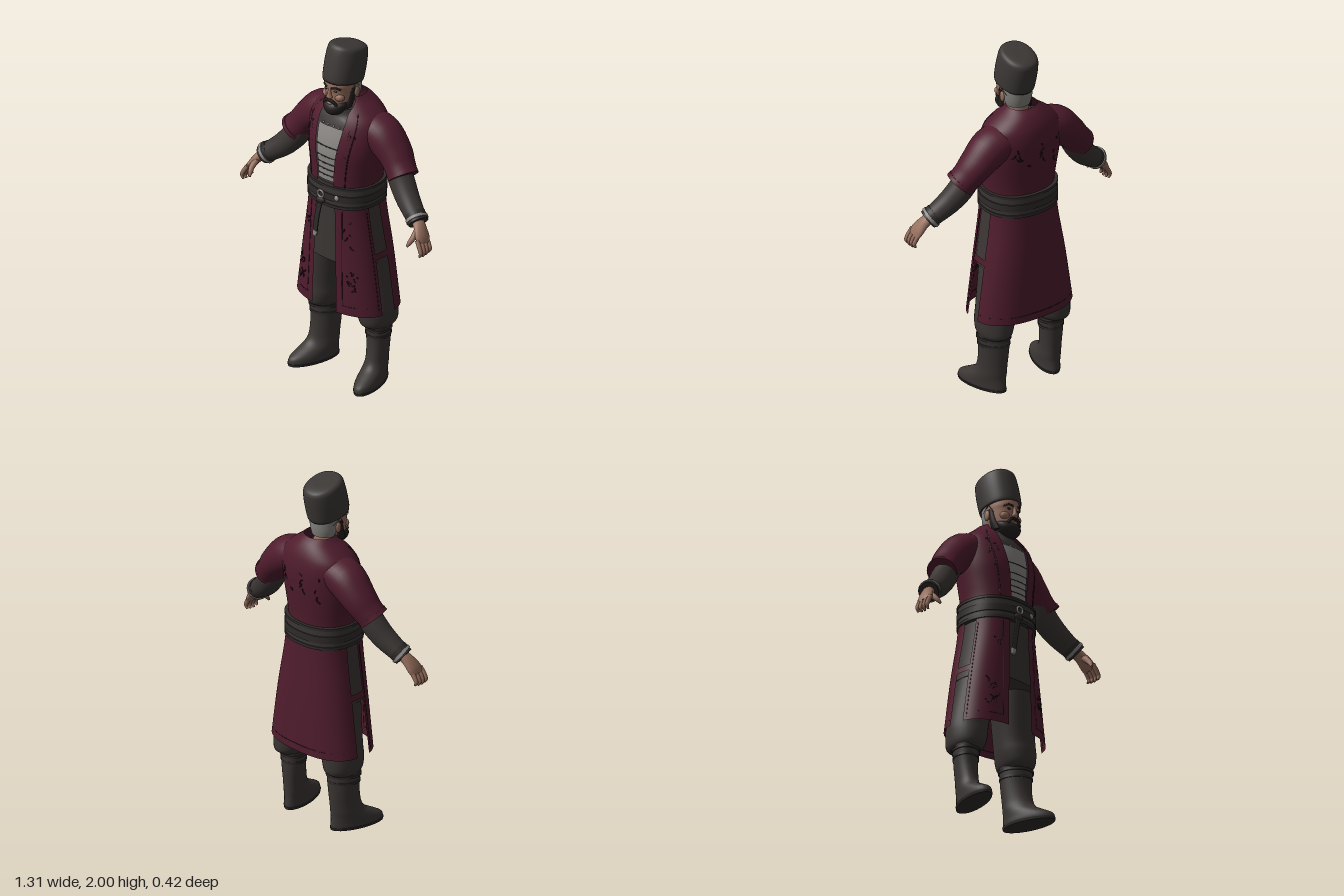
import * as THREE from 'three';
import { mergeGeometries } from 'three/addons/utils/BufferGeometryUtils.js';

const mat = (name, color, double) => {
  const m = new THREE.MeshStandardMaterial({ color });
  m.name = name;
  if (double) m.side = THREE.DoubleSide;
  return m;
};
const D = Math.PI / 180;
const pw = (v, e) => Math.sign(v) * Math.abs(v) ** e;
const ring = (a, b, deg, p) => [a * pw(Math.cos(deg * D), 2 / p), b * pw(Math.sin(deg * D), 2 / p)];
const V = (x, y, z) => new THREE.Vector3(x, y, z);

// Rows are [x, y, z, halfWidth, halfDepth, startAngle, endAngle]; 90 degrees is the front.
function smooth(rows, k = 4) {
  const r = rows.map((q) => (q.length < 7 ? [...q, 0, 360] : q)), out = [];
  for (let i = 0; i < r.length - 1; i++) {
    const p0 = r[Math.max(i - 1, 0)], p1 = r[i], p2 = r[i + 1], p3 = r[Math.min(i + 2, r.length - 1)];
    for (let s = 0; s < k; s++) {
      const t = s / k;
      out.push(p1.map((v, c) => {
        const m1 = (p2[c] - p0[c]) / 2, m2 = (p3[c] - v) / 2, d = p2[c] - v;
        return v + m1 * t + (3 * d - 2 * m1 - m2) * t * t + (m1 + m2 - 2 * d) * t * t * t;
      }));
    }
  }
  out.push(r[r.length - 1]);
  return out;
}

// Skin a surface over elliptical cross-sections (flat rows run from bottom to top).
function loft(rows, { n = 32, p = 2, flat = false, k = 4 } = {}) {
  const R = smooth(rows, k), closed = R[0][6] - R[0][5] >= 359.9;
  const cols = closed ? n : n + 1, pos = [], idx = [];
  const c = R.map((r) => V(r[0], r[1], r[2]));
  R.forEach((r, i) => {
    const t = flat ? V(0, 1, 0) : c[Math.min(i + 1, R.length - 1)].clone().sub(c[Math.max(i - 1, 0)]).normalize();
    const v = V(0, 0, 1).addScaledVector(t, -t.z).normalize(), u = t.clone().cross(v);
    for (let j = 0; j < cols; j++) {
      const [x, z] = ring(r[3], r[4], r[5] + (r[6] - r[5]) * j / n, p);
      const q = c[i].clone().addScaledVector(u, x).addScaledVector(v, z);
      pos.push(q.x, q.y, q.z);
    }
  });
  for (let i = 0; i < R.length - 1; i++) for (let j = 0; j < n; j++) {
    const a = i * cols + j, b = i * cols + (j + 1) % cols;
    idx.push(a, a + cols, b, b, a + cols, b + cols);
  }
  if (closed) for (const e of [0, R.length - 1]) {
    const base = pos.length / 3;
    pos.push(...pos.slice(e * cols * 3, (e + 1) * cols * 3), c[e].x, c[e].y, c[e].z);
    for (let j = 0; j < n; j++) {
      const a = base + j, b = base + (j + 1) % n;
      idx.push(...(e ? [b, a, base + n] : [a, b, base + n]));
    }
  }
  const g = new THREE.BufferGeometry();
  g.setAttribute('position', new THREE.Float32BufferAttribute(pos, 3));
  g.setIndex(idx);
  g.computeVertexNormals();
  return g;
}

function rowAt(R, y) {
  const i = Math.max(0, Math.min(R.length - 2, R.findIndex((r) => r[1] > y) - 1));
  const t = (y - R[i][1]) / (R[i + 1][1] - R[i][1]);
  return R[i].map((v, c) => v + (R[i + 1][c] - v) * t);
}
const grow = (r, s, t0 = r[5], t1 = r[6]) => [r[0], r[1], r[2], r[3] * s, r[4] * s, t0, t1];
const tube = (pts, r, n = 12) => new THREE.TubeGeometry(new THREE.CatmullRomCurve3(pts), n, r, 5);
// Thin line lying on a garment; points are [y, angle].
const stitch = (R, p, pts, r = 0.003) => tube(pts.map(([y, a]) => {
  const q = rowAt(R, y), [x, z] = ring(q[3], q[4], a, p);
  return V(q[0] + x, y, q[2] + z);
}), r);

export function createModel() {
  const model = new THREE.Group();
  const robe = mat('burgundy cloth', 0x4f1c2d, true), thread = mat('dark thread', 0x26101a);
  const dark = mat('dark cloth', 0x3b3634), leather = mat('black leather', 0x2f2b2a);
  const hatM = mat('hat felt', 0x3c3836), skin = mat('skin', 0x98705e);
  const beardM = mat('beard black', 0x231f1e), greyHair = mat('grey hair', 0x85847f, true);
  const silver = mat('silver', 0x8c8986), shirtGrey = mat('grey cloth', 0x8a8784, true);
  const add = (name, geo, m) => {
    const o = new THREE.Mesh(geo, m);
    o.name = name;
    model.add(o);
    return o;
  };
  const ball = (name, m, x, y, z, a, b, c) => {
    const o = add(name, new THREE.SphereGeometry(1, 16, 12), m);
    o.position.set(x, y, z);
    o.scale.set(a, b, c);
    return o;
  };

  // Robe body, open in a V at the front
  const open = (x, y, z, a, b, g) => [x, y, z, a, b, 90 + g, 450 - g];
  const body = [
    open(0, 1.08, 0.01, 0.2, 0.175, 17), open(0, 1.2, 0.012, 0.2, 0.174, 15), open(0, 1.3, 0.008, 0.213, 0.178, 15),
    open(0, 1.4, 0.003, 0.228, 0.183, 17), open(0, 1.5, -0.01, 0.232, 0.174, 20), open(0, 1.57, -0.02, 0.215, 0.155, 23),
    open(0, 1.62, -0.027, 0.165, 0.13, 29), open(0, 1.66, -0.03, 0.112, 0.1, 46), open(0, 1.685, -0.025, 0.085, 0.075, 52)];
  const bodyS = smooth(body);
  add('robeBody', loft(body, { n: 48, p: 2.15, flat: true }), robe);
  const ys = [1.22, 1.3, 1.38, 1.46, 1.53];
  const inner = [1.08, ...ys.slice(1), 1.565].map((y) => grow(rowAt(bodyS, y), 0.93, 0, 360));
  add('undershirt', loft([...inner, [0, 1.59, 0, 0.11, 0.115, 0, 360], [0, 1.625, 0.025, 0.078, 0.08, 0, 360]], { p: 2.15, flat: true }), dark);
  const chest = (y, s) => { const r = rowAt(bodyS, y); return grow(r, s, r[6] - 360, r[5]); };
  add('chestPanel', loft(ys.map((y) => chest(y, 0.965)), { n: 12, p: 2.15, flat: true }), shirtGrey);
  for (const y of [1.25, 1.285, 1.32, 1.36, 1.42]) {
    const r = chest(y, 0.967);
    add('chestSeam', stitch([r, [...r.slice(0, 1), y + 0.1, ...r.slice(2)]], 2.15, [[y, r[5]], [y, 90], [y, r[6]]], 0.003), leather);
  }
  for (const x of [-0.055, -0.02, 0.02, 0.055]) ball('panelStud', silver, x, 1.535, 0.137, 0.006, 0.006, 0.006);

  // Skirt: a back panel and two front panels, slit at the sides
  const shape = [[0, 0.45, -0.002, 0.3, 0.198], [0, 0.75, 0.001, 0.255, 0.19], [0, 1.0, 0.008, 0.212, 0.179], [0, 1.12, 0.01, 0.2, 0.175]];
  const skirt = smooth(shape), P = 2.5;
  add('skirtBack', loft(shape.map((r) => [...r, 186, 354]), { n: 40, p: P, flat: true }), robe);
  add('underskirt', loft([0.74, 0.9, 1.1].map((y) => grow(rowAt(skirt, y), 0.93)), { p: P, flat: true }), dark);

  // Embroidery sprigs scattered on the robe
  let seed = 7;
  const rnd = () => (seed = (seed * 16807) % 2147483647) / 2147483647 - 0.5;
  const sprig = (R, p, y, a, h, w, count) => mergeGeometries(Array.from({ length: count }, () => {
    const y0 = y + rnd() * h, a0 = a + rnd() * w, dy = rnd() * 0.07, da = rnd() * 14;
    return stitch(R, p, [[y0, a0], [y0 + dy * 0.6, a0 + da * 0.3], [y0 + dy, a0 + da]], 0.004);
  }));
  for (const a of [55, 125]) {
    add('chestEmbroidery', sprig(bodyS, 2.15, 1.47, a, 0.14, 14, 7), thread);
    add('skirtEmbroidery', sprig(skirt, P, 0.62, a, 0.16, 18, 12), thread);
    add('upperSkirtEmbroidery', sprig(skirt, P, 0.92, a, 0.14, 14, 5), thread);
  }
  add('backEmbroidery', sprig(bodyS, 2.15, 1.43, 270, 0.12, 70, 14), thread);
  add('skirtBackHem', stitch(skirt, P, [190, 210, 230, 250, 270, 290, 310, 330, 350].map((a) => [0.49, a]), 0.002), thread);

  // Belt with rims, buckle and hanging strap
  const belt = (name, y0, y1, a, b, m) => add(name, loft([[0, y0, 0.01, a, b], [0, y1, 0.01, a, b]], { n: 48, p: 2.3, flat: true, k: 1 }), m);
  belt('belt', 1.08, 1.2, 0.209, 0.184, dark);
  belt('beltLowerRim', 1.075, 1.092, 0.214, 0.189, leather);
  belt('beltUpperRim', 1.188, 1.203, 0.214, 0.189, leather);
  belt('beltStrap', 1.115, 1.155, 0.215, 0.19, leather);
  const buckle = add('buckle', new THREE.TorusGeometry(0.02, 0.006, 8, 20), silver);
  buckle.position.set(-0.015, 1.14, 0.205);
  ball('beltStud', silver, 0.085, 1.14, 0.188, 0.015, 0.015, 0.01);
  ball('strapKnot', leather, -0.02, 1.1, 0.2, 0.03, 0.02, 0.015);
  add('hangingStrap', loft([[-0.058, 0.88, 0.2, 0.015, 0.005], [-0.045, 0.98, 0.202, 0.016, 0.005], [-0.02, 1.1, 0.2, 0.016, 0.005]], { n: 12, p: 4 }), leather);
  add('strapTip', loft([[-0.06, 0.868, 0.2, 0.012, 0.007], [-0.056, 0.9, 0.2, 0.018, 0.007]], { n: 12, p: 4 }), silver);

  for (const s of [1, -1]) {
    const arc = (t0, t1) => (s > 0 ? [t0, t1] : [180 - t1, 180 - t0]);
    const side = (a) => (s > 0 ? a : 180 - a);
    const M = (rows) => rows.map(([x, ...r]) => [x * s, ...r]);

    // Front skirt panel, side strap, lapel and seams
    add('skirtFront', loft(shape.map((r, i) => [...r, ...arc(12, [78, 77, 76, 76][i])]), { n: 24, p: P, flat: true }), robe);
    add('sideStrap', loft([0.765, 0.8].map((y) => grow(rowAt(skirt, y), 0.99, ...arc(-8, 14))), { n: 8, p: P, flat: true, k: 1 }), robe);
    add('hemSeam', stitch(skirt, P, [[0.5, side(70)], [0.5, side(55)], [0.5, side(35)]], 0.002), thread);
    add('panelSeam', stitch(skirt, P, [[0.5, side(70)], [0.75, side(68)], [1.06, side(63)]], 0.002), thread);
    add('slitSeam', stitch(skirt, P, [[0.47, side(17)], [0.75, side(17)], [1.06, side(17)]], 0.002), thread);
    const lap = [1.2, 1.3, 1.4, 1.5, 1.57, 1.62, 1.66, 1.68].map((y) => {
      const r = rowAt(bodyS, y), e = r[6] - 360;
      return grow(r, 1.015, ...arc(e - 18, e));
    });
    add('lapel', loft(lap, { n: 8, p: 2.15, flat: true }), robe);
    add('lapelSeam', stitch(bodyS, 2.15, lap.slice(0, 6).map((r) => [r[1], s > 0 ? r[5] - 1 : r[6] + 1]), 0.004), thread);

    // Sleeve, forearm and cuff
    add('sleeve', loft(M([[0.1, 1.53, -0.03, 0.08, 0.11], [0.21, 1.49, -0.035, 0.105, 0.112], [0.3, 1.415, -0.033, 0.09, 0.1], [0.35, 1.355, -0.02, 0.082, 0.088], [0.39, 1.31, -0.005, 0.08, 0.082]])), robe);
    add('sleeveHem', loft(M([[0.378, 1.325, -0.009, 0.083, 0.085], [0.392, 1.308, -0.004, 0.084, 0.085]]), { k: 1 }), robe);
    add('forearm', loft(M([[0.33, 1.36, -0.015, 0.068, 0.07], [0.38, 1.28, -0.003, 0.07, 0.07], [0.45, 1.2, 0.022, 0.064, 0.064], [0.55, 1.122, 0.056, 0.05, 0.054]])), dark);
    add('cuff', loft(M([[0.515, 1.15, 0.044, 0.057, 0.058], [0.555, 1.117, 0.058, 0.054, 0.058]]), { k: 2 }), leather);
    add('bracelet', loft(M([[0.534, 1.135, 0.05, 0.061, 0.062], [0.546, 1.125, 0.055, 0.061, 0.062]]), { k: 1 }), silver);

    // Hand
    add('palm', loft(M([[0.545, 1.125, 0.055, 0.03, 0.034], [0.575, 1.1, 0.068, 0.026, 0.038], [0.605, 1.06, 0.083, 0.021, 0.047], [0.622, 1.03, 0.092, 0.014, 0.043]]), { n: 16 }), skin);
    for (let i = 0; i < 4; i++) {
      const z = 0.055 + i * 0.024, l = [0.88, 1, 1.03, 0.95][i];
      add('finger', loft(M([[0.608, 1.055, z, 0.012, 0.012], [0.632, 1.015, z + 0.006, 0.013, 0.012], [0.642, 1.015 - 0.028 * l, z + 0.008, 0.011, 0.011], [0.632, 1.015 - 0.05 * l, z + 0.008, 0.006, 0.006]]), { n: 10 }), skin);
    }
    add('thumb', loft(M([[0.575, 1.095, 0.085, 0.018, 0.018], [0.578, 1.06, 0.125, 0.016, 0.016], [0.572, 1.035, 0.148, 0.013, 0.012], [0.565, 1.015, 0.16, 0.006, 0.006]]), { n: 10 }), skin);

    // Baggy trouser leg
    add('trouserLeg', loft(M([[0.19, 0.335, -0.032, 0.07, 0.09], [0.188, 0.36, -0.032, 0.088, 0.118], [0.182, 0.42, -0.03, 0.1, 0.124], [0.172, 0.5, -0.03, 0.104, 0.122], [0.13, 0.74, -0.01, 0.105, 0.13], [0.1, 0.95, 0, 0.1, 0.13]]), { flat: true }), dark);

    // Boot, toes turned outward
    const splay = (g) => {
      const q = g.attributes.position;
      for (let i = 0; i < q.count; i++) q.setX(i, q.getX(i) + s * 0.22 * (q.getZ(i) + 0.02));
      g.computeVertexNormals();
      return g;
    };
    add('boot', splay(loft(M([[0.19, 0.002, 0.05, 0.062, 0.15], [0.19, 0.02, 0.05, 0.067, 0.152], [0.19, 0.045, 0.045, 0.067, 0.145], [0.19, 0.075, 0.02, 0.066, 0.118], [0.19, 0.105, -0.006, 0.064, 0.094], [0.19, 0.15, -0.02, 0.062, 0.083], [0.19, 0.24, -0.03, 0.068, 0.08], [0.19, 0.345, -0.03, 0.078, 0.084]]), { flat: true })), dark);
    for (const [y, a] of [[0.325, 0.082], [0.285, 0.077]])
      add('bootBand', splay(loft(M([[0.19, y - 0.007, -0.03, a, a + 0.006], [0.19, y + 0.007, -0.03, a, a + 0.006]]), { flat: true, k: 1 })), leather);
    add('sole', splay(loft(M([[0.19, 0, 0.05, 0.066, 0.153], [0.19, 0.014, 0.05, 0.07, 0.155]]), { flat: true, k: 1 })), leather);

    // Face features in pairs
    ball('ear', skin, s * 0.088, 1.728, 0.03, 0.01, 0.03, 0.018);
    ball('eye', beardM, s * 0.033, 1.75, 0.14, 0.012, 0.006, 0.006);
    ball('cheek', skin, s * 0.042, 1.712, 0.118, 0.03, 0.024, 0.025);
    add('eyebrow', tube([V(s * 0.014, 1.768, 0.152), V(s * 0.036, 1.774, 0.145), V(s * 0.06, 1.765, 0.125)], 0.006), beardM);
    add('moustache', tube([V(0, 1.695, 0.156), V(s * 0.025, 1.69, 0.152), V(s * 0.045, 1.665, 0.14)], 0.009), beardM);
    add('sideburn', loft(M([[0.062, 1.64, 0.075, 0.014, 0.03], [0.076, 1.69, 0.06, 0.01, 0.022], [0.083, 1.76, 0.05, 0.006, 0.014]]), { n: 12, flat: true }), beardM);
  }

  // Head, nose, beard and hair
  add('neck', loft([[0, 1.56, 0.005, 0.062, 0.062], [0, 1.7, 0.03, 0.06, 0.065]], { flat: true }), skin);
  add('head', loft([[0, 1.625, 0.085, 0.042, 0.05], [0, 1.66, 0.062, 0.066, 0.085], [0, 1.7, 0.048, 0.078, 0.1], [0, 1.75, 0.045, 0.084, 0.103], [0, 1.78, 0.045, 0.086, 0.108], [0, 1.84, 0.035, 0.084, 0.102]], { p: 2.15, flat: true }), skin);
  add('nose', loft([[0, 1.703, 0.148, 0.012, 0.01], [0, 1.714, 0.15, 0.019, 0.017], [0, 1.735, 0.15, 0.011, 0.013], [0, 1.77, 0.146, 0.009, 0.008]], { n: 12, flat: true }), skin);
  add('beard', loft([[0, 1.597, 0.118, 0.02, 0.018], [0, 1.612, 0.113, 0.046, 0.044], [0, 1.64, 0.107, 0.066, 0.058], [0, 1.665, 0.1, 0.073, 0.055], [0, 1.68, 0.09, 0.068, 0.045]], { flat: true }), beardM);
  ball('lips', skin, 0, 1.675, 0.152, 0.018, 0.007, 0.008);
  add('hair', loft([[0, 1.675, 0.035, 0.075, 0.088, 195, 345], [0, 1.72, 0.038, 0.086, 0.1, 188, 352], [0, 1.8, 0.04, 0.09, 0.108, 185, 355]], { p: 2.15, flat: true }), greyHair);

  // Tall hat leaning back
  add('hat', loft([[0, 1.785, 0.043, 0.092, 0.113], [0, 1.795, 0.041, 0.098, 0.121], [0, 1.88, 0.021, 0.101, 0.122], [0, 1.945, 0.006, 0.097, 0.118], [0, 1.968, 0, 0.09, 0.11], [0, 1.979, -0.003, 0.074, 0.092], [0, 1.983, -0.004, 0.04, 0.05]], { n: 40, p: 2.2 }), hatM);
  return model;
}
